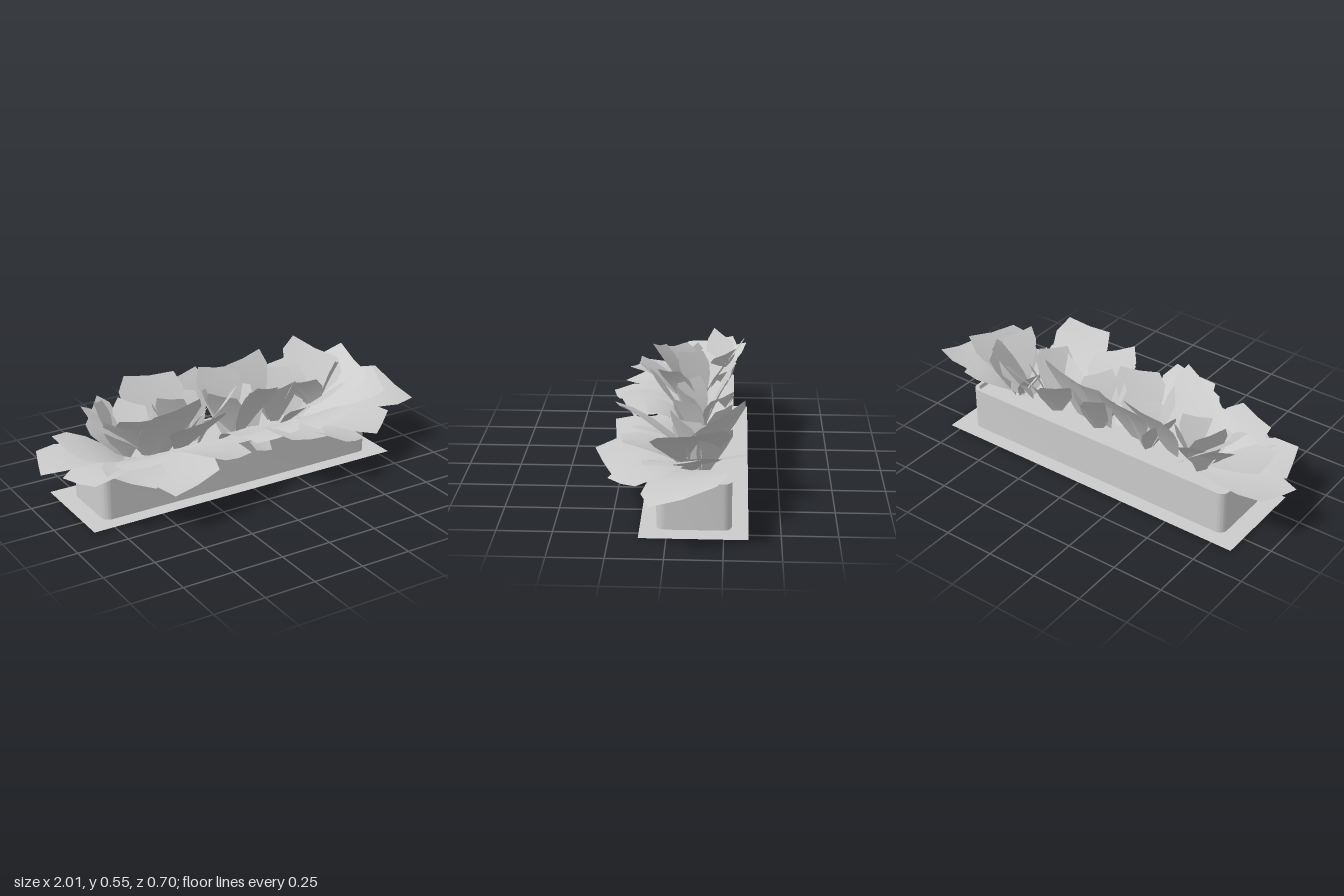
import * as THREE from 'three';
import { toCreasedNormals } from 'three/addons/utils/BufferGeometryUtils.js';

const CX = -0.025, CZ = -0.118; // planter centre
const grey = new THREE.MeshStandardMaterial({ color: 0xcccccc });
const thin = new THREE.MeshStandardMaterial({ color: 0xcccccc, side: THREE.DoubleSide });

let seed = 7;
const rand = () => ((seed = (seed * 16807) % 2147483647) / 2147483647);
const jitter = (a) => (rand() * 2 - 1) * a;

function roundedRect(Type, w, d, r) {
  const s = new Type(), x = w / 2, y = d / 2;
  s.absarc(x - r, y - r, r, 0, Math.PI / 2);
  s.absarc(-x + r, y - r, r, Math.PI / 2, Math.PI);
  s.absarc(-x + r, -y + r, r, Math.PI, Math.PI * 1.5);
  s.absarc(x - r, -y + r, r, Math.PI * 1.5, Math.PI * 2);
  s.closePath();
  return s;
}

// Upright prism on the planter centre
function prism(name, shape, y, height) {
  let geo = new THREE.ExtrudeGeometry(shape, { depth: height, bevelEnabled: false, curveSegments: 6 });
  geo.rotateX(-Math.PI / 2);
  geo = toCreasedNormals(geo, 0.6);
  const mesh = new THREE.Mesh(geo, grey);
  mesh.name = name;
  mesh.position.set(CX, y, CZ);
  return mesh;
}

// Broad leaf with a square-cut tip: a curved strip from the soil outwards.
// arch lifts the middle, roll tips one long edge up.
const OUTLINE = [0.25, 0.6, 0.88, 1, 0.78];
function leaf(name, base, tip, width, roll, arch) {
  const mid = base.clone().lerp(tip, 0.5);
  mid.y += arch;
  const curve = new THREE.QuadraticBezierCurve3(base, mid, tip);
  const along = tip.clone().sub(base).setY(0).normalize();
  const flat = new THREE.Vector3(-along.z, 0, along.x);
  const slant = jitter(0.1);
  const pos = [], index = [];
  OUTLINE.forEach((f, i) => {
    const t = i / (OUTLINE.length - 1);
    const p = curve.getPoint(t), dir = curve.getTangent(t);
    const across = flat.clone().setY(roll * t).normalize();
    for (const side of [-1, 0, 1]) {
      const v = p.clone().addScaledVector(across, side * f * width / 2);
      v.addScaledVector(dir, side * slant * t * width);
      if (side === 0) v.y -= 0.04 * width * f;
      pos.push(v.x, v.y, v.z);
    }
    if (i === 0) return;
    for (const c of [0, 1]) {
      const a = (i - 1) * 3 + c, b = i * 3 + c;
      index.push(a, a + 1, b, a + 1, b + 1, b);
    }
  });
  const geo = new THREE.BufferGeometry();
  geo.setAttribute('position', new THREE.Float32BufferAttribute(pos, 3));
  geo.setIndex(index);
  geo.computeVertexNormals();
  const mesh = new THREE.Mesh(geo, thin);
  mesh.name = name;
  return mesh;
}

// Each row: base x, tip x, tip y, tip z, width, roll
const SPREADING = [
  [-0.55, -0.98, 0.26, -0.18, 0.26, 0.1], [-0.55, -0.87, 0.34, -0.1, 0.3, 0.15],
  [-0.5, -0.9, 0.25, 0.08, 0.28, -0.15], [-0.5, -0.7, 0.25, 0.2, 0.3, 0.15],
  [-0.45, -0.42, 0.22, 0.31, 0.34, -0.15], [-0.3, -0.16, 0.26, 0.24, 0.28, 0.2],
  [-0.55, -0.62, 0.32, 0.22, 0.26, -0.15], [-0.05, -0.03, 0.31, 0.14, 0.2, 0.1],
  [0.08, 0.07, 0.18, 0.1, 0.12, 0.3], [0.15, 0.1, 0.27, 0.17, 0.28, -0.15],
  [0.22, 0.22, 0.27, 0.26, 0.28, 0.2], [0.3, 0.46, 0.22, 0.3, 0.26, 0.3],
  [0.42, 0.4, 0.31, 0.22, 0.28, -0.2], [0.4, 0.7, 0.22, 0.2, 0.28, -0.2],
  [0.5, 0.82, 0.36, 0.0, 0.28, -0.2], [0.5, 0.98, 0.28, -0.08, 0.38, -0.3],
];
const LEANING = [
  [-0.45, -0.55, 0.45, 0.02, 0.26, -0.2], [-0.38, -0.4, 0.5, 0.09, 0.28, -0.15],
  [-0.28, -0.3, 0.45, 0.18, 0.28, -0.2], [-0.18, -0.08, 0.47, 0.03, 0.24, -0.2],
  [0.05, 0.1, 0.49, 0.08, 0.24, 0.15], [0.32, 0.37, 0.46, 0.23, 0.28, -0.3],
  [0.45, 0.73, 0.46, -0.1, 0.36, -0.1], [-0.45, -0.72, 0.43, -0.16, 0.3, 0.15],
];
const BACK = [
  [-0.55, -0.66, 0.42, -0.27, 0.26, 0.2], [-0.38, -0.33, 0.52, -0.31, 0.32, -0.1],
  [-0.18, -0.18, 0.49, -0.29, 0.26, 0.15], [0.0, 0.02, 0.5, -0.27, 0.24, -0.15],
  [0.15, 0.17, 0.52, -0.26, 0.24, 0.1], [0.38, 0.43, 0.45, -0.31, 0.28, 0.15],
  [0.45, 0.59, 0.5, -0.24, 0.32, -0.3], [0.5, 0.74, 0.36, -0.25, 0.26, 0.1],
];

export function createModel() {
  const model = new THREE.Group();

  // Flat sheet, with the planter showing through just below it
  const sheet = new THREE.Mesh(new THREE.PlaneGeometry(1.66, 0.48).rotateX(-Math.PI / 2), thin);
  sheet.name = 'baseSheet';
  sheet.position.set(CX, 0.003, CZ);
  model.add(sheet);

  // Trough walls with a closed bottom, and soil just below the rim
  const walls = roundedRect(THREE.Shape, 1.48, 0.333, 0.04);
  walls.holes.push(roundedRect(THREE.Path, 1.445, 0.298, 0.028));
  model.add(prism('planterWalls', walls, 0, 0.223));
  model.add(prism('soil', roundedRect(THREE.Shape, 1.45, 0.303, 0.03), 0, 0.2));

  const foliage = new THREE.Group();
  foliage.name = 'foliage';
  model.add(foliage);
  const addRows = (name, rows, arch, lean) => rows.forEach(([bx, tx, ty, tz, w, roll]) => {
    const base = new THREE.Vector3(bx, 0.2, CZ + Math.sign(tz - CZ) * lean);
    foliage.add(leaf(name, base, new THREE.Vector3(tx, ty, tz), w, roll, arch));
  });
  addRows('spreadingLeaf', SPREADING, 0.06, 0.03);
  addRows('leaningLeaf', LEANING, 0.05, 0.02);
  addRows('backLeaf', BACK, 0.05, 0.01);

  // Steep leaves filling the hearts of the plants
  for (const x of [-0.55, -0.25, 0.03, 0.28, 0.52]) {
    for (let i = 0; i < 4; i++) {
      const a = i * Math.PI / 2 + 0.6 + jitter(0.5);
      const base = new THREE.Vector3(x + 0.02 * Math.cos(a), 0.2, CZ - 0.03 + 0.02 * Math.sin(a));
      const tip = new THREE.Vector3(x + 0.14 * Math.cos(a), 0.43 + jitter(0.06), CZ - 0.03 + 0.11 * Math.sin(a));
      foliage.add(leaf('heartLeaf', base, tip, 0.18, jitter(0.25), 0.03));
    }
  }
  return model;
}
